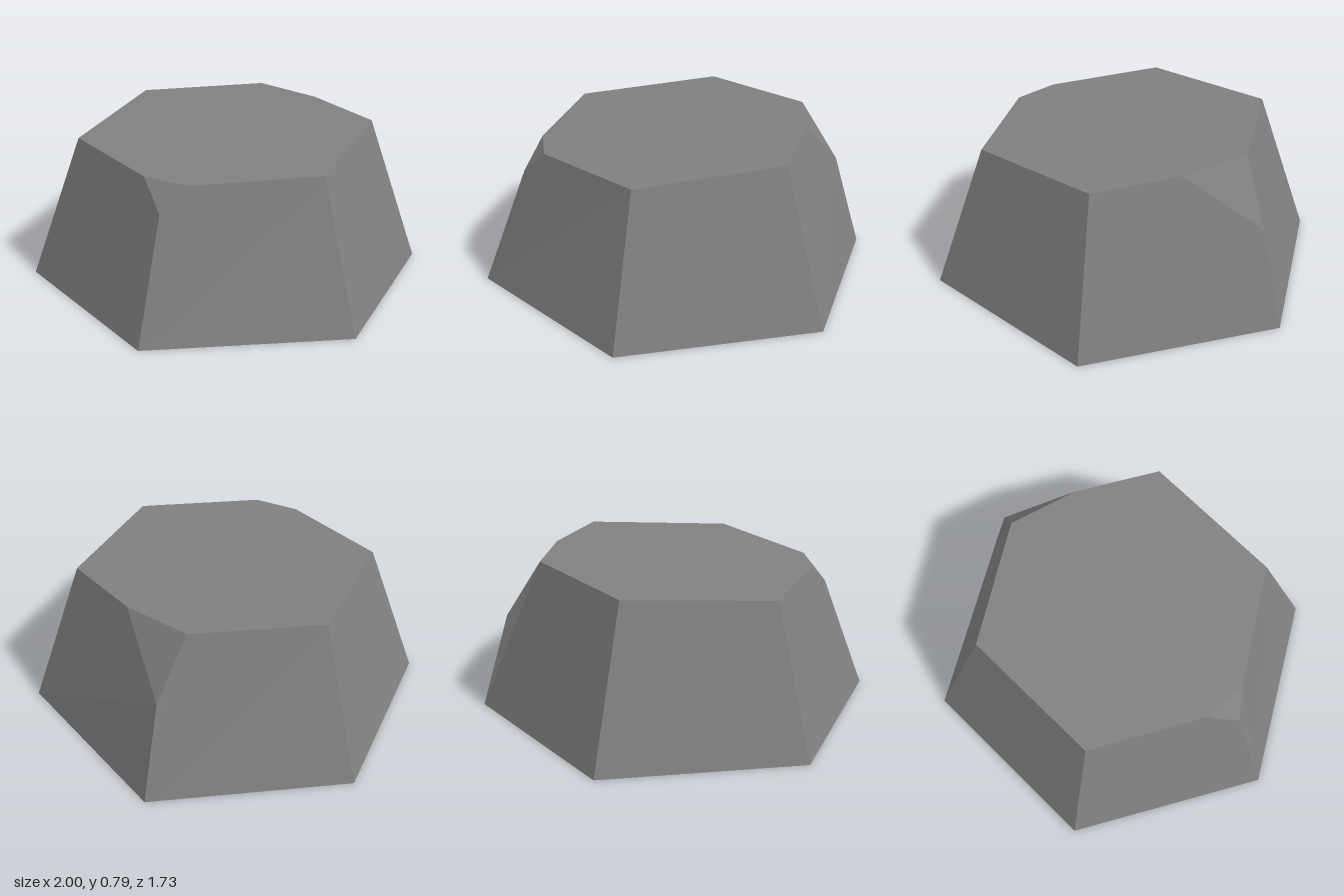
import * as THREE from 'three';

// Height of the slightly tilted top at a given x, z
const topY = (x, z) => 0.7475 - 0.037 * x - 0.048 * z;

// Builds one geometry from flat convex polygons, fanned into triangles
function polygons(faces) {
  const pos = [];
  for (const f of faces) {
    for (let i = 1; i < f.length - 1; i++) pos.push(...f[0], ...f[i], ...f[i + 1]);
  }
  const geo = new THREE.BufferGeometry();
  geo.setAttribute('position', new THREE.Float32BufferAttribute(pos, 3));
  geo.computeVertexNormals();
  return geo;
}

export function createModel() {
  const group = new THREE.Group();
  group.name = 'rock';
  const stone = new THREE.MeshStandardMaterial({ color: 0x808080, flatShading: true });
  stone.name = 'stone grey';

  // Hexagonal base, counterclockwise from the -x corner (seen from above)
  const base = [];
  for (let i = 0; i < 6; i++) {
    const a = Math.PI - (i * Math.PI) / 3;
    base.push([Math.cos(a), 0, Math.sin(a)]);
  }

  // Top outline, with two corners cut off
  const top = [
    [-0.73, 0.02], [-0.36, 0.65], [0.23, 0.64], [0.44, 0.54],
    [0.74, -0.01], [0.37, -0.64], [-0.07, -0.635], [-0.42, -0.545],
  ].map(([x, z]) => [x, topY(x, z), z]);

  // Lower tips of the chipped corners
  const frontTip = [0.4, 0.585, 0.67];
  const backTip = [-0.44, 0.49, -0.735];

  const parts = {
    topFace: [top],
    sides: [
      [base[0], base[1], top[1], top[0]],
      [base[1], base[2], frontTip, top[2], top[1]],
      [base[2], base[3], top[4], top[3], frontTip],
      [base[3], base[4], top[5], top[4]],
      [base[4], base[5], backTip, top[6], top[5]],
      [base[5], base[0], top[0], top[7], backTip],
    ],
    chippedCorners: [
      [top[2], frontTip, top[3]],
      [top[6], backTip, top[7]],
    ],
    underside: [[...base].reverse()],
  };
  for (const [name, faces] of Object.entries(parts)) {
    const mesh = new THREE.Mesh(polygons(faces), stone);
    mesh.name = name;
    group.add(mesh);
  }
  return group;
}
